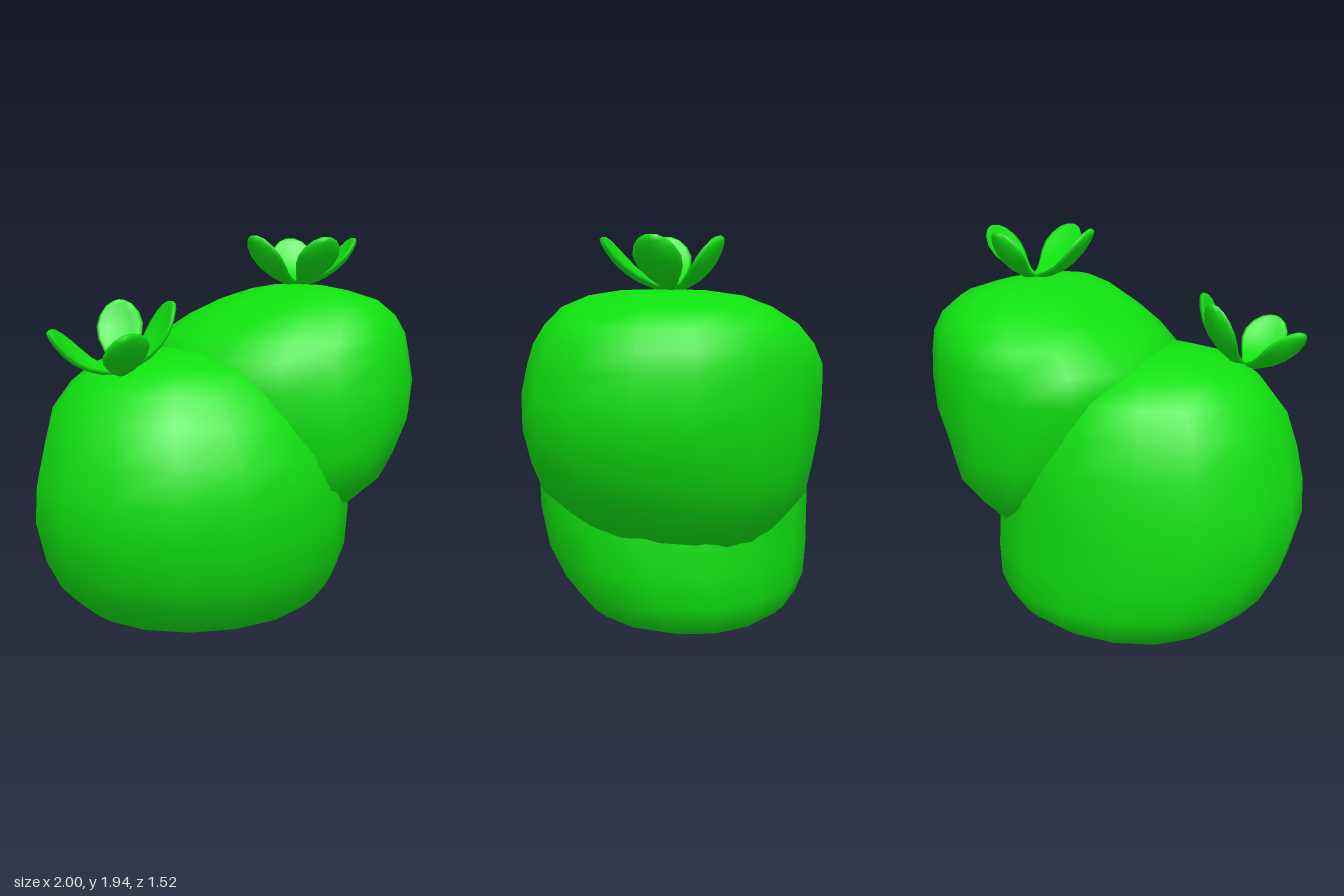
import * as THREE from 'three';

const green = new THREE.MeshStandardMaterial({ color: 0x10e010 });
const V = (x, y, z) => new THREE.Vector3(x, y, z);

// Closed smooth skin through rings of points, with a fan at both ends
function loft(rings, first, last) {
  const n = rings[0].length, index = [];
  const points = [...rings.flat(), first, last];
  const a = points.length - 2, b = points.length - 1, top = (rings.length - 1) * n;
  for (let j = 0; j < n; j++) {
    const k = (j + 1) % n;
    for (let i = 0; i < rings.length - 1; i++) {
      const p = i * n + j, q = i * n + k;
      index.push(p, p + n, q, q, p + n, q + n);
    }
    index.push(a, j, k, b, top + k, top + j);
  }
  const g = new THREE.BufferGeometry().setFromPoints(points);
  g.setIndex(index);
  g.computeVertexNormals();
  return g;
}

// Rounded lump from rows of [y, xMin, xMax, zMin, zMax]
function lump(name, rows, topY, skew) {
  const sides = 16;
  const centre = ([, x0, x1, z0, z1], y) => V((x0 + x1) / 2, y, (z0 + z1) / 2);
  const rings = rows.map((r) => {
    const c = centre(r, r[0]), rx = (r[2] - r[1]) / 2, rz = (r[4] - r[3]) / 2;
    return Array.from({ length: sides }, (_, j) => {
      const t = (j / sides) * Math.PI * 2;
      const dx = Math.cos(t) * rx;
      return V(c.x + dx, r[0], c.z + Math.sin(t) * rz + skew * dx);
    });
  });
  const last = rows[rows.length - 1];
  const mesh = new THREE.Mesh(loft(rings, centre(rows[0], rows[0][0]), centre(last, topY)), green);
  mesh.name = name;
  return mesh;
}

// Cupped petal curving from the flower's base up to its tip
function petal(base, tip, axis) {
  const out = tip.clone().sub(base);
  out.addScaledVector(axis, -out.dot(axis));
  const bend = base.clone().addScaledVector(out, 0.72).addScaledVector(axis, 0.03);
  const path = new THREE.QuadraticBezierCurve3(base, bend, tip);
  const w = axis.clone().cross(out).normalize();
  // [position along petal, half width]
  const profile = [[0.02, 0.02], [0.18, 0.045], [0.36, 0.08], [0.54, 0.108],
    [0.7, 0.115], [0.84, 0.098], [0.94, 0.065], [0.985, 0.03]];
  const rings = profile.map(([t, half]) => {
    const p = path.getPoint(t), n = w.clone().cross(path.getTangent(t));
    return Array.from({ length: 12 }, (_, j) => {
      const a = (j / 12) * Math.PI * 2, c = Math.cos(a);
      const thick = Math.min(0.018, half * 0.5);
      return p.clone().addScaledVector(w, c * half)
        .addScaledVector(n, Math.sin(a) * thick - 0.25 * half * c * c);
    });
  });
  const mesh = new THREE.Mesh(loft(rings, base, tip), green);
  mesh.name = 'petal';
  return mesh;
}

function flower(name, base, axis, tips) {
  const g = new THREE.Group();
  g.name = name;
  axis.normalize();
  for (const t of tips) g.add(petal(base, V(...t), axis));
  return g;
}

export function createModel() {
  const model = new THREE.Group();
  model.name = 'cactus';

  // Large lower lump with a flat foot
  model.add(lump('lowerBody', [
    [0, -0.66, 0.42, -0.54, 0.34], [0.03, -0.71, 0.49, -0.58, 0.46],
    [0.08, -0.78, 0.55, -0.63, 0.52], [0.18, -0.87, 0.61, -0.67, 0.61],
    [0.34, -0.95, 0.64, -0.68, 0.7], [0.55, -1, 0.64, -0.68, 0.75],
    [0.73, -0.99, 0.62, -0.68, 0.76], [0.9, -0.95, 0.57, -0.66, 0.74],
    [1.08, -0.9, 0.47, -0.62, 0.66], [1.21, -0.8, 0.36, -0.54, 0.56],
    [1.31, -0.68, 0.22, -0.42, 0.45], [1.37, -0.48, 0, -0.22, 0.25],
  ], 1.385, 0));

  // Upper lump leaning out to the left side
  model.add(lump('upperBody', [
    [0.42, 0.12, 0.52, -0.42, 0.3], [0.58, -0.05, 0.69, -0.58, 0.43],
    [0.72, -0.15, 0.82, -0.69, 0.58], [0.86, -0.24, 0.9, -0.72, 0.63],
    [1.03, -0.32, 0.98, -0.75, 0.66], [1.2, -0.36, 1, -0.76, 0.66],
    [1.34, -0.35, 0.985, -0.76, 0.63], [1.44, -0.24, 0.97, -0.72, 0.59],
    [1.53, -0.1, 0.92, -0.65, 0.53], [1.61, 0.06, 0.82, -0.53, 0.45],
    [1.66, 0.22, 0.66, -0.4, 0.34], [1.685, 0.33, 0.54, -0.22, 0.18],
  ], 1.69, 0.12));

  // Four-petalled flower on each lump
  model.add(flower('upperFlower', V(0.45, 1.69, -0.07), V(0, 1, 0), [
    [0.15, 1.94, 0.02], [0.76, 1.93, -0.02], [0.51, 1.93, -0.3], [0.45, 1.93, 0.27],
  ]));
  model.add(flower('lowerFlower', V(-0.62, 1.3, 0.23), V(-0.2, 1, 0.2), [
    [-0.94, 1.5, 0.19], [-0.36, 1.63, 0.27], [-0.55, 1.63, 0.0], [-0.65, 1.5, 0.53],
  ]));
  return model;
}
